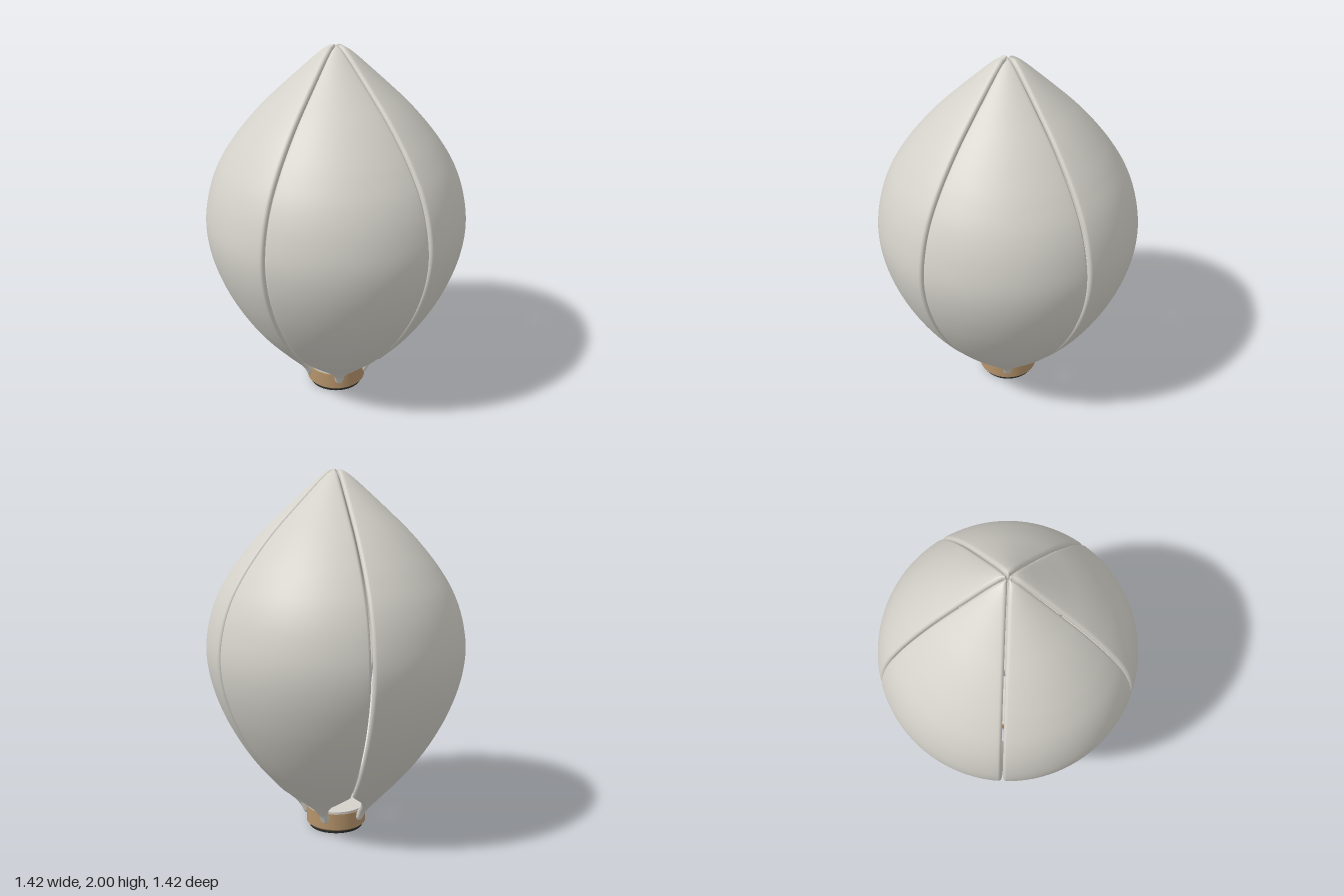
import * as THREE from 'three';

const petalMat = new THREE.MeshStandardMaterial({ name: 'warm grey', color: 0xd3d1c9 });
const brassMat = new THREE.MeshStandardMaterial({ name: 'tan', color: 0xb5936a });
const darkMat = new THREE.MeshStandardMaterial({ name: 'near black', color: 0x2b2b29 });

const THICK = 0.034, GAP = 0.005, SECTOR = Math.PI / 5;

// Outer petal profile (radius, height), from apex to foot
const PROFILE = new THREE.SplineCurve([
  [0.014, 2], [0.05, 1.988], [0.1, 1.95], [0.17, 1.887], [0.27, 1.795], [0.38, 1.69], [0.475, 1.585],
  [0.56, 1.475], [0.635, 1.35], [0.685, 1.21], [0.708, 1.05], [0.69, 0.89], [0.635, 0.72],
  [0.555, 0.56], [0.46, 0.415], [0.355, 0.29], [0.3, 0.23], [0.25, 0.175], [0.21, 0.125],
  [0.193, 0.095], [0.183, 0.072],
].map(([r, y]) => new THREE.Vector2(r, y)));

// Half width of the petal's foot by height: pointed notch, then a thin stem
const FOOT = [[0.06, 0.018], [0.08, 0.024], [0.12, 0.03], [0.16, 0.046], [0.2, 0.085], [0.235, 0.14], [0.28, 0.215]];
function footHalfWidth(y) {
  if (y >= 0.28) return Infinity;
  const k = Math.max(1, FOOT.findIndex(p => p[0] > y));
  const [y0, w0] = FOOT[k - 1], [y1, w1] = FOOT[k];
  return w0 + (w1 - w0) * (y - y0) / (y1 - y0);
}

// Closed section of the shell: u across, s depth, w sideways bulge of the rounded rims
function sectionLoop() {
  const loop = [], N = 28, C = 8;
  for (let k = 0; k <= N; k++) loop.push([-1 + 2 * k / N, 0, 0]);
  for (let k = 1; k < C; k++) {
    const p = Math.PI * (0.5 - k / C);
    loop.push([1, -0.5 + 0.5 * Math.sin(p), Math.cos(p)]);
  }
  for (let k = 0; k <= N; k++) loop.push([1 - 2 * k / N, -1, 0]);
  for (let k = 1; k < C; k++) {
    const p = Math.PI * (-0.5 + k / C);
    loop.push([-1, -0.5 + 0.5 * Math.sin(p), -Math.cos(p)]);
  }
  return loop;
}

function petalGeometry() {
  const loop = sectionLoop(), M = loop.length, ROWS = 160;
  const pos = [], idx = [];
  const addRow = (p, n, squeeze) => {
    const t = THICK * squeeze;
    const rim = Math.min(THICK / 2, p.x * 0.35) * squeeze;
    let half = SECTOR - Math.asin(Math.min(0.55, (rim + GAP) / p.x));
    half = Math.min(half, Math.max(0.01, (footHalfWidth(p.y) * squeeze - rim) / p.x));
    for (const [u, s, w] of loop) {
      const a = u * half, d = s * t - (THICK - t) / 2;
      const r = Math.max(0.003, p.x + n.x * d);
      pos.push(r * Math.sin(a) + w * rim * Math.cos(a), p.y + n.y * d, r * Math.cos(a) - w * rim * Math.sin(a));
    }
  };
  for (let i = 0; i <= ROWS; i++) {
    const p = PROFILE.getPoint(i / ROWS), tan = PROFILE.getTangent(i / ROWS);
    addRow(p, new THREE.Vector2(-tan.y, tan.x), 1);
  }
  // rounded tip of the foot
  const end = PROFILE.getPoint(1), tan = PROFILE.getTangent(1);
  const n = new THREE.Vector2(-tan.y, tan.x);
  for (const q of [0.3, 0.6, 0.85, 0.98]) {
    addRow(end.clone().addScaledVector(tan, q * THICK / 2), n, Math.sqrt(1 - q * q));
  }
  const rows = pos.length / 3 / M;
  for (let i = 0; i < rows - 1; i++) {
    for (let j = 0; j < M; j++) {
      const a = i * M + j, b = i * M + (j + 1) % M;
      idx.push(a, a + M, b, b, a + M, b + M);
    }
  }
  // close both ends
  for (const row of [0, rows - 1]) {
    const c = [0, 0, 0], first = row * M, centre = pos.length / 3;
    for (let j = 0; j < M; j++) for (let k = 0; k < 3; k++) c[k] += pos[(first + j) * 3 + k] / M;
    pos.push(...c);
    for (let j = 0; j < M; j++) {
      const a = first + j, b = first + (j + 1) % M;
      if (row === 0) idx.push(centre, a, b); else idx.push(centre, b, a);
    }
  }
  const g = new THREE.BufferGeometry();
  g.setAttribute('position', new THREE.Float32BufferAttribute(pos, 3));
  g.setIndex(idx);
  g.computeVertexNormals();
  return g;
}

function disc(name, radius, y0, y1, material) {
  const mesh = new THREE.Mesh(new THREE.CylinderGeometry(radius, radius, y1 - y0, 64), material);
  mesh.position.y = (y0 + y1) / 2;
  mesh.name = name;
  return mesh;
}

export function createModel() {
  const model = new THREE.Group();
  model.name = 'petalShade';

  // Five curved petals, one facing the front
  const petals = new THREE.Group();
  petals.name = 'petals';
  const geometry = petalGeometry();
  for (let i = 0; i < 5; i++) {
    const petal = new THREE.Mesh(geometry, petalMat);
    petal.name = 'petal' + (i + 1);
    petal.rotation.y = i * 2 * SECTOR;
    petals.add(petal);
  }
  model.add(petals);

  // Base: collar with chamfered lower edge, pale top plate, dark foot
  const collar = new THREE.Mesh(new THREE.LatheGeometry(
    [[0, 0.018], [0.158, 0.018], [0.158, 0.018], [0.167, 0.027], [0.167, 0.027], [0.167, 0.118], [0.167, 0.118], [0, 0.118]]
      .map(([r, y]) => new THREE.Vector2(r, y)), 64), brassMat);
  collar.name = 'collar';
  model.add(collar);
  model.add(disc('topPlate', 0.162, 0.115, 0.13, petalMat));
  model.add(disc('foot', 0.15, 0, 0.02, darkMat));
  return model;
}
